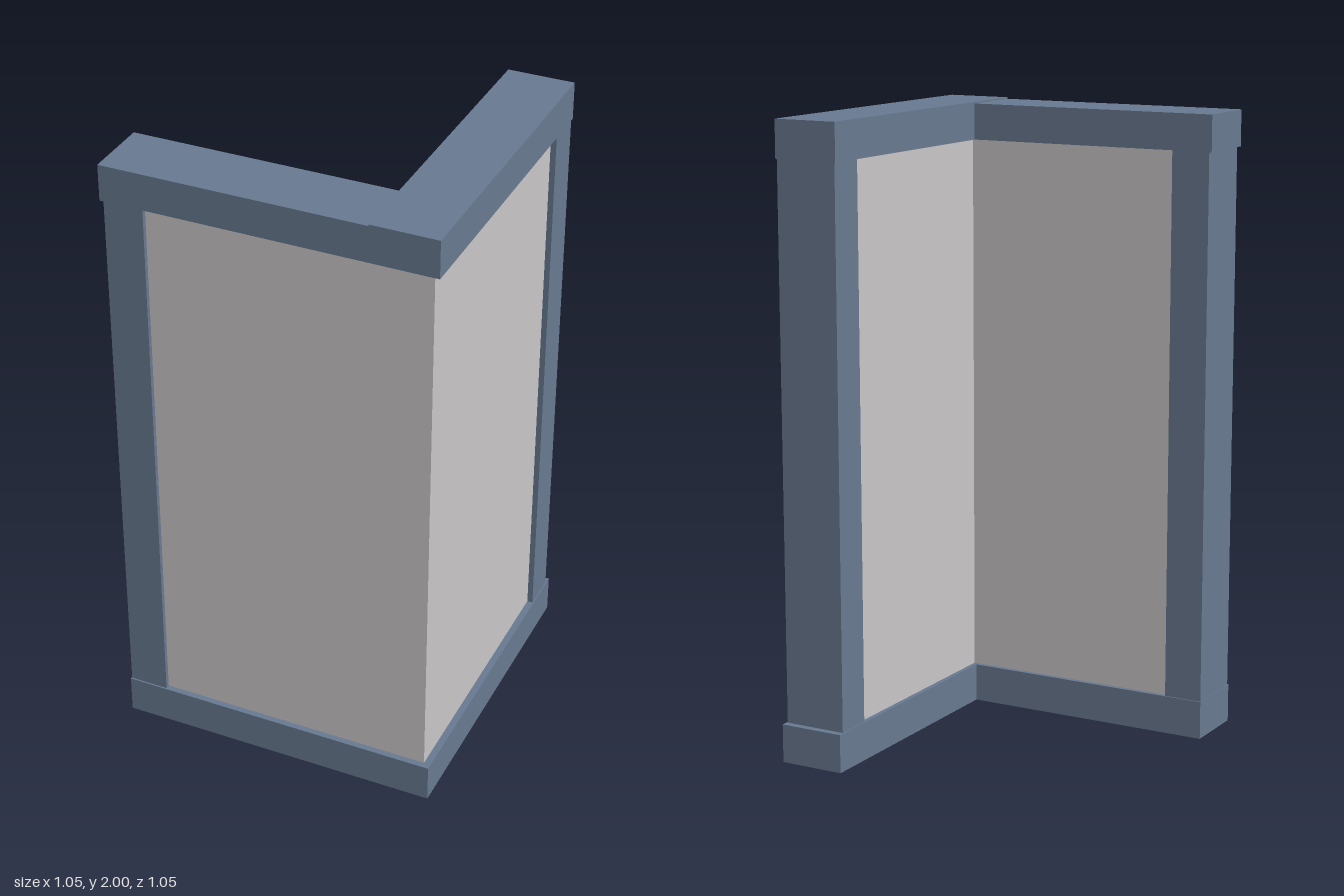
import * as THREE from 'three';

const frameBlue = new THREE.MeshStandardMaterial({ color: 0x67788f });
frameBlue.name = 'frameBlue';
const panelGrey = new THREE.MeshStandardMaterial({ color: 0xc8c5c6 });
panelGrey.name = 'panelGrey';

// Box given by its two opposite corners
function block(name, material, [x0, y0, z0], [x1, y1, z1]) {
  const mesh = new THREE.Mesh(new THREE.BoxGeometry(x1 - x0, y1 - y0, z1 - z0), material);
  mesh.position.set((x0 + x1) / 2, (y0 + y1) / 2, (z0 + z1) / 2);
  mesh.name = name;
  return mesh;
}

export function createModel() {
  const model = new THREE.Group();
  model.name = 'cornerWall';
  model.add(
    // Wall panels, running down through the base to the ground
    block('frontPanel', panelGrey, [-0.51, 0, 0.325], [0.5, 1.9, 0.505]),
    block('sidePanel', panelGrey, [0.325, 0, -0.5], [0.5, 1.9, 0.325]),

    // Posts at the two free ends
    block('frontPost', frameBlue, [-0.515, 0.1, 0.314], [-0.39, 1.9, 0.52]),
    block('sidePost', frameBlue, [0.314, 0.1, -0.503], [0.518, 1.9, -0.38]),

    // Base rails
    block('frontBaseRail', frameBlue, [-0.517, 0.002, 0.31], [0.522, 0.125, 0.525]),
    block('sideBaseRail', frameBlue, [0.31, 0.002, -0.525], [0.522, 0.125, 0.31]),

    // Top rails, the side one a touch higher where they meet
    block('frontTopRail', frameBlue, [-0.525, 1.88, 0.31], [0.31, 1.995, 0.525]),
    block('sideTopRail', frameBlue, [0.31, 1.88, -0.505], [0.522, 2, 0.525]),
  );
  return model;
}
